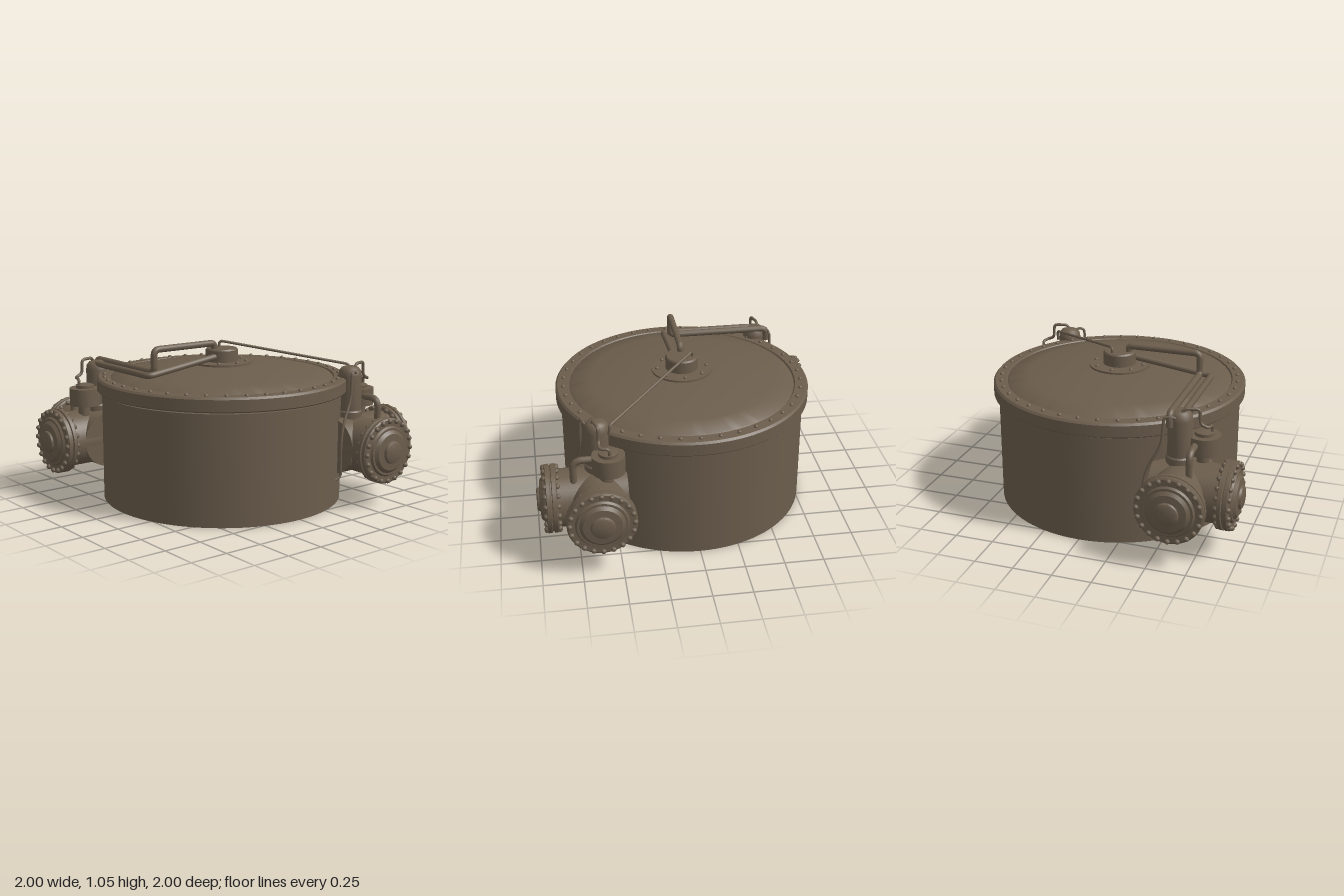
import * as THREE from 'three';
import { toCreasedNormals } from 'three/addons/utils/BufferGeometryUtils.js';

const bronze = new THREE.MeshStandardMaterial({ color: 0x6b5d4c });
bronze.name = 'weathered bronze';

function add(parent, name, geometry) {
  const mesh = new THREE.Mesh(geometry, bronze);
  mesh.name = name;
  parent.add(mesh);
  return mesh;
}

// Turned solid from [radius, height] pairs, listed bottom to top
function turned(profile, segments = 48) {
  const points = profile.map(([r, y]) => new THREE.Vector2(r, y));
  return toCreasedNormals(new THREE.LatheGeometry(points, segments), 0.6);
}

// Pipe with straight runs and rounded corners
function pipe(points, radius, bend = 0.04) {
  const p = points.map((a) => new THREE.Vector3(...a));
  const path = new THREE.CurvePath();
  let from = p[0];
  for (let i = 1; i < p.length - 1; i++) {
    const toPrev = p[i - 1].clone().sub(p[i]);
    const toNext = p[i + 1].clone().sub(p[i]);
    const d = Math.min(bend, toPrev.length() * 0.45, toNext.length() * 0.45);
    const a = p[i].clone().addScaledVector(toPrev.normalize(), d);
    const b = p[i].clone().addScaledVector(toNext.normalize(), d);
    path.add(new THREE.LineCurve3(from, a));
    path.add(new THREE.QuadraticBezierCurve3(a, p[i], b));
    from = b;
  }
  path.add(new THREE.LineCurve3(from, p[p.length - 1]));
  return new THREE.TubeGeometry(path, 24 * p.length, radius, 12);
}

// Ring of domed bolts around the y axis
function boltRing(parent, name, count, ringRadius, y, size) {
  const ring = new THREE.Group();
  ring.name = name;
  const geometry = new THREE.SphereGeometry(size, 10, 8);
  for (let i = 0; i < count; i++) {
    const a = (i / count) * Math.PI * 2;
    add(ring, 'bolt', geometry).position.set(Math.sin(a) * ringRadius, y, Math.cos(a) * ringRadius);
  }
  parent.add(ring);
}

// Horizontal barrel with a bolted end cover, built along y
function makeBarrel() {
  const barrel = new THREE.Group();
  barrel.name = 'barrel';
  add(barrel, 'barrelPipe', turned([[0, 0.44], [0.182, 0.44], [0.182, 0.88]]));
  add(barrel, 'flange', turned([
    [0.17, 0.875], [0.205, 0.875], [0.215, 0.882], [0.215, 0.904], [0.205, 0.908],
    [0.205, 0.914], [0.215, 0.918], [0.215, 0.94], [0.205, 0.947], [0.165, 0.947],
    [0.155, 0.96], [0.14, 0.96], [0.12, 0.978], [0.075, 0.982], [0.07, 0.995], [0.06, 1.0], [0, 1.0],
  ]));
  boltRing(barrel, 'innerBolts', 20, 0.197, 0.871, 0.017);
  boltRing(barrel, 'outerBolts', 20, 0.197, 0.949, 0.017);
  return barrel;
}

// Corner valve unit: two barrels, an upright chamber, a drum and small pipes
function makeValveUnit() {
  const unit = new THREE.Group();
  unit.name = 'valveUnit';

  const frontBarrel = makeBarrel();
  frontBarrel.rotation.x = Math.PI / 2;
  frontBarrel.position.set(0.62, 0.375, 0);
  const sideBarrel = makeBarrel();
  sideBarrel.rotation.z = -Math.PI / 2;
  sideBarrel.position.set(0, 0.375, 0.62);
  unit.add(frontBarrel, sideBarrel);

  const chamber = add(unit, 'uprightChamber', turned([
    [0, 0.45], [0.085, 0.45], [0.085, 0.59], [0.077, 0.6], [0.077, 0.83],
    [0.072, 0.86], [0.057, 0.88], [0.03, 0.89], [0, 0.892],
  ], 32));
  chamber.position.set(0.592, 0, 0.61);

  const drum = add(unit, 'drum', turned([
    [0, 0.61], [0.102, 0.61], [0.102, 0.725], [0.06, 0.725], [0.06, 0.745], [0.045, 0.75], [0, 0.75],
  ], 32));
  drum.position.set(0.728, 0, 0.555);
  add(unit, 'drumStem', new THREE.CylinderGeometry(0.04, 0.04, 0.2, 20)).position.set(0.728, 0.53, 0.57);

  add(unit, 'elbowPipe', pipe([[0.695, 0.68, 0.56], [0.695, 0.68, 0.77], [0.695, 0.45, 0.77]], 0.022, 0.06));
  add(unit, 'drumPipe', pipe([
    [0.6, 0.86, 0.64], [0.62, 0.905, 0.635], [0.71, 0.905, 0.61], [0.715, 0.81, 0.61],
    [0.765, 0.79, 0.61], [0.775, 0.79, 0.55], [0.775, 0.73, 0.55],
  ], 0.01, 0.025));
  add(unit, 'drainPipe', pipe([
    [0.6, 0.84, 0.66], [0.55, 0.87, 0.695], [0.515, 0.86, 0.705], [0.505, 0.69, 0.71], [0.42, 0.53, 0.73],
    [0.395, 0.4, 0.74], [0.405, 0.2, 0.735], [0.365, 0.175, 0.725],
  ], 0.009, 0.06));
  return unit;
}

export function createModel() {
  const model = new THREE.Group();
  model.name = 'pressureTank';

  // Tank body
  add(model, 'tank', turned([[0, 0], [0.798, 0], [0.798, 0.712], [0, 0.712]], 96));

  // Lid with rim and shallow dome
  add(model, 'lid', turned([
    [0, 0.724], [0.822, 0.724], [0.83, 0.732], [0.83, 0.805], [0.818, 0.818], [0.745, 0.82], [0.738, 0.81],
    [0.73, 0.818], [0.6, 0.846], [0.45, 0.87], [0.3, 0.887], [0.15, 0.896], [0, 0.898],
  ], 96));
  boltRing(model, 'rimBolts', 40, 0.78, 0.82, 0.014);

  // Central fitting
  add(model, 'hub', turned([
    [0.2, 0.88], [0.2, 0.905], [0.107, 0.907], [0.107, 0.982], [0.1, 0.992], [0, 0.992],
  ]));
  boltRing(model, 'hubBolts', 8, 0.163, 0.907, 0.013);

  // Main pipes from the hub to the rear valve unit
  add(model, 'upperPipe', pipe([
    [-0.065, 0.97, 0], [-0.065, 1.03, 0], [-0.545, 1.03, 0], [-0.545, 0.885, 0],
    [-0.545, 0.885, -0.685], [-0.545, 0.8, -0.685],
  ], 0.022));
  add(model, 'lowerPipe', pipe([
    [-0.05, 0.95, 0.04], [-0.615, 0.873, 0.04], [-0.615, 0.873, -0.6], [-0.615, 0.8, -0.62],
  ], 0.021));

  // Thin line from the hub to the front valve unit
  add(model, 'thinLine', pipe([
    [0.025, 0.97, -0.065], [0.03, 1.03, -0.065], [0.62, 0.893, 0.5], [0.655, 0.885, 0.535], [0.655, 0.82, 0.54],
  ], 0.009, 0.025));

  // Valve units on opposite corners
  const frontUnit = makeValveUnit();
  const rearUnit = makeValveUnit();
  rearUnit.rotation.y = Math.PI;
  model.add(frontUnit, rearUnit);
  return model;
}
